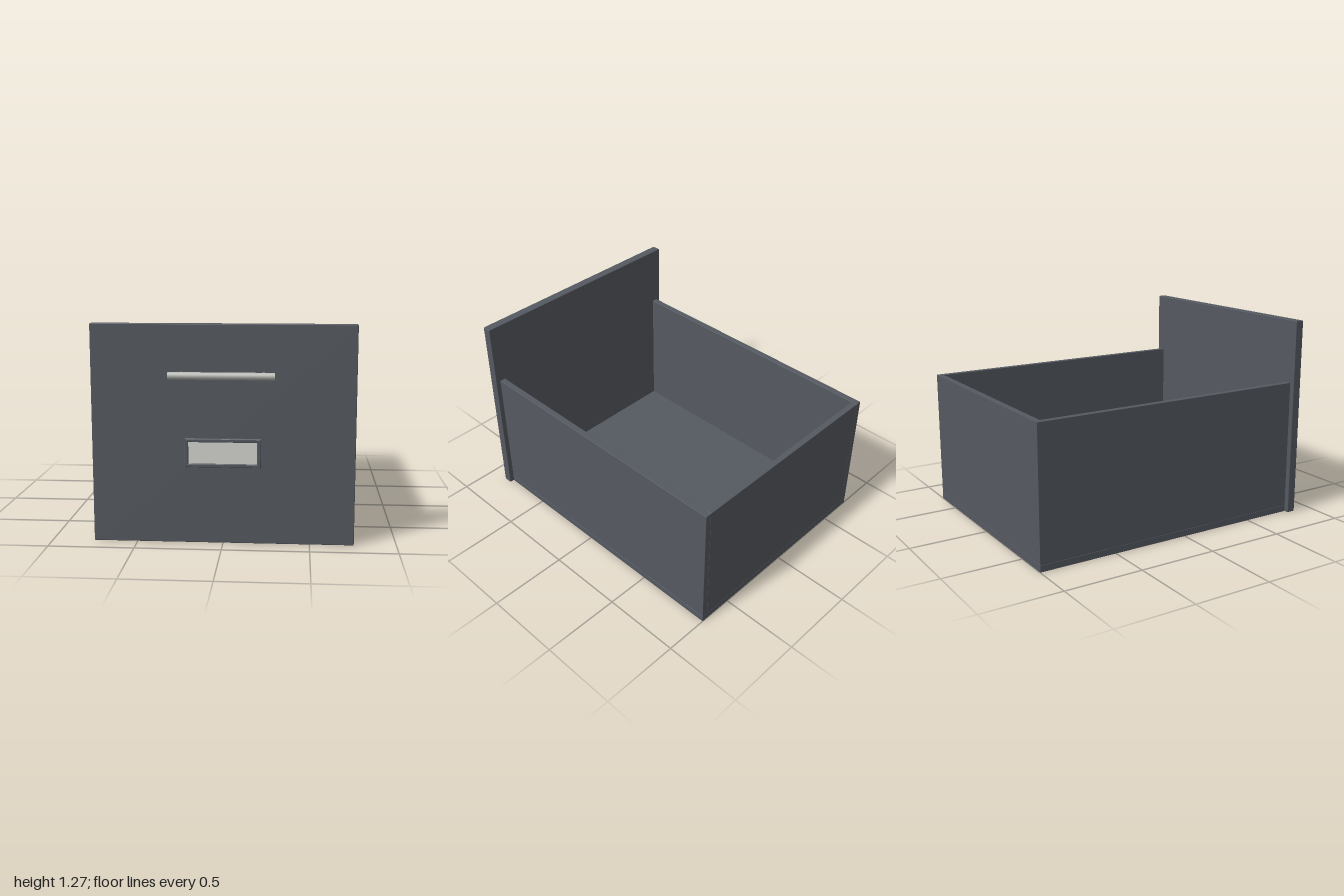
import * as THREE from 'three';
import { RoundedBoxGeometry } from 'three/addons/geometries/RoundedBoxGeometry.js';

const material = (color) => new THREE.MeshStandardMaterial({ color });

export function createModel() {
  const group = new THREE.Group();
  const slate = material(0x555960);
  const metal = material(0xb8b8b4);
  const paper = material(0xd6d5d0);

  const add = (name, geometry, mat, x, y, z) => {
    const mesh = new THREE.Mesh(geometry, mat);
    mesh.name = name;
    mesh.position.set(x, y, z);
    group.add(mesh);
    return mesh;
  };
  // Panel given by its min and max corners, with finely eased edges
  const panel = (name, [x0, y0, z0], [x1, y1, z1], ease = 0.002) =>
    add(name, new RoundedBoxGeometry(x1 - x0, y1 - y0, z1 - z0, 2, ease), slate,
      (x0 + x1) / 2, (y0 + y1) / 2, (z0 + z1) / 2);

  // Drawer box: floor, two sides and back
  const w = 0.724, t = 0.038, floorTop = 0.042, top = 0.87, back = -1, front = 0.815;
  panel('bottomPanel', [-w, 0, back], [w, floorTop, front]);
  panel('rightSide', [-w, floorTop, back], [-w + t, top, front]);
  panel('leftSide', [w - t, floorTop, back], [w, top, front]);
  panel('backPanel', [-w + t, floorTop, back], [w - t, top, back + t]);

  // Oversized front panel
  panel('frontPanel', [-0.755, 0, front], [0.755, 1.27, 0.871], 0.004);

  // Bar handle on two posts
  const handleY = 0.991;
  add('handleBar', new THREE.CylinderGeometry(0.021, 0.021, 0.594, 20), metal, 0, handleY, 0.979)
    .rotation.z = Math.PI / 2;
  for (const side of [-1, 1]) {
    add(side < 0 ? 'rightHandlePost' : 'leftHandlePost',
      new THREE.CylinderGeometry(0.013, 0.013, 0.076, 16), metal, side * 0.233, handleY, 0.938)
      .rotation.x = Math.PI / 2;
  }

  // Label holder: rectangular frame with a window, and the card behind it
  const rect = (target, hw, hh) => target.moveTo(-hw, -hh).lineTo(hw, -hh)
    .lineTo(hw, hh).lineTo(-hw, hh).closePath();
  const frame = rect(new THREE.Shape(), 0.215, 0.08);
  frame.holes.push(rect(new THREE.Path(), 0.2, 0.066));
  const frameGeometry = new THREE.ExtrudeGeometry(frame, {
    depth: 0.019, bevelEnabled: true, bevelSize: 0.003, bevelThickness: 0.003, bevelSegments: 1,
  });
  add('labelFrame', frameGeometry, slate, 0, 0.536, 0.872);
  add('labelCard', new THREE.BoxGeometry(0.4, 0.132, 0.012), paper, 0, 0.536, 0.876);

  return group;
}
